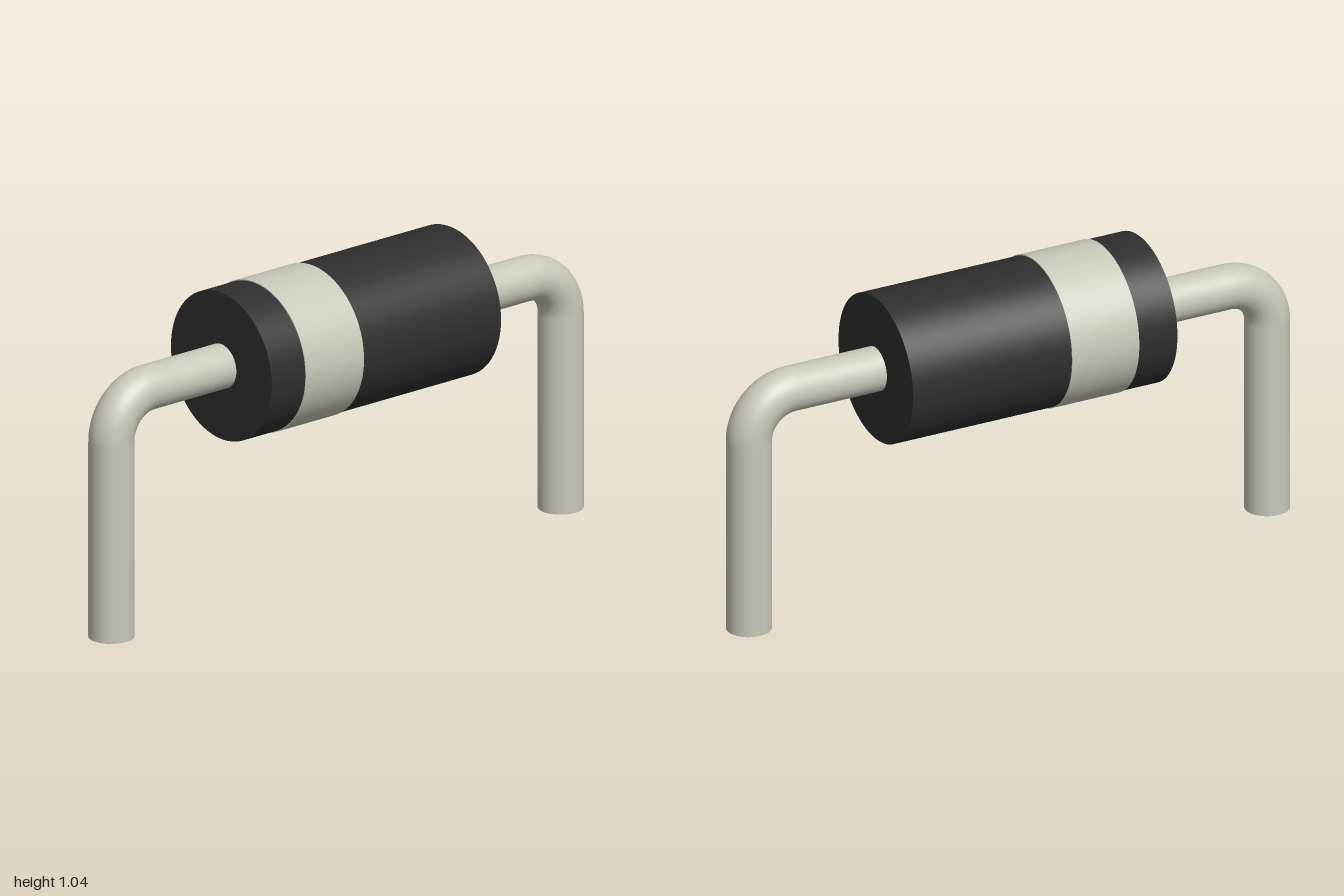
import * as THREE from 'three';

const AXIS_Y = 0.796;     // height of the body axis
const BODY_R = 0.244;
const WIRE_R = 0.0725;
const BEND_R = 0.1475;    // centreline radius of the wire bend
const LEG_X = 0.9275;
const BODY_END = 0.473;

const bodyMat = new THREE.MeshStandardMaterial({ color: 0x2e2e2e });
bodyMat.name = 'blackCasing';
const metalMat = new THREE.MeshStandardMaterial({ color: 0xc8c8ba });
metalMat.name = 'paleMetal';

function addMesh(parent, name, geometry, material) {
  const mesh = new THREE.Mesh(geometry, material);
  mesh.name = name;
  parent.add(mesh);
  return mesh;
}

// Cylinder lying along x, between two x positions
function barX(radius, x0, x1, segments, open) {
  return new THREE.CylinderGeometry(radius, radius, x1 - x0, segments, 1, open)
    .rotateZ(-Math.PI / 2)
    .translate((x0 + x1) / 2, AXIS_Y, 0);
}

// Bent wire on the +x side: horizontal run, quarter bend, vertical leg
function buildLead(name) {
  const lead = new THREE.Group();
  lead.name = name;
  const bendX = LEG_X - BEND_R;
  const bendY = AXIS_Y - BEND_R;
  addMesh(lead, 'wireRun', barX(WIRE_R, BODY_END - 0.02, bendX, 48, true), metalMat);
  addMesh(lead, 'wireBend',
    new THREE.TorusGeometry(BEND_R, WIRE_R, 48, 24, Math.PI / 2).translate(bendX, bendY, 0), metalMat);
  addMesh(lead, 'wireLeg',
    new THREE.CylinderGeometry(WIRE_R, WIRE_R, bendY, 48).translate(LEG_X, bendY / 2, 0), metalMat);
  return lead;
}

export function createModel() {
  const model = new THREE.Group();
  model.name = 'axialDiode';

  // Casing and its polarity band
  addMesh(model, 'casing', barX(BODY_R, -BODY_END, BODY_END, 96, false), bodyMat);
  addMesh(model, 'polarityBand', barX(BODY_R + 0.003, -0.335, -0.095, 96, false), metalMat);

  // Matching leads at both ends
  const left = buildLead('leftLead');
  const right = buildLead('rightLead');
  right.rotation.y = Math.PI;
  model.add(left, right);

  return model;
}
